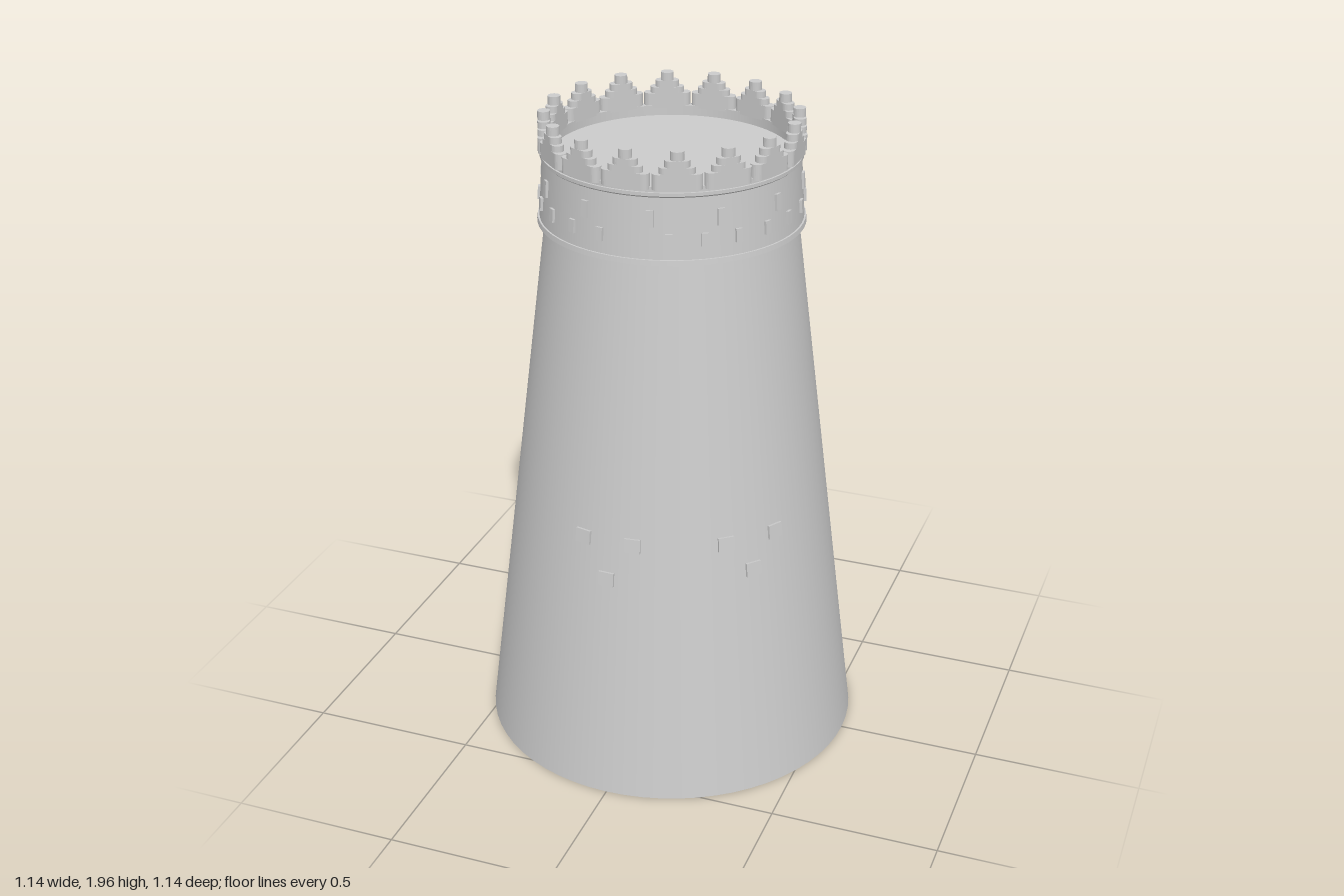
import * as THREE from 'three';

const material = new THREE.MeshStandardMaterial({ color: 0xcccccc, side: THREE.DoubleSide });
const deg = Math.PI / 180;

function part(geometry, name) {
  const mesh = new THREE.Mesh(geometry, material);
  mesh.name = name;
  return mesh;
}

// Surface of revolution with hard edges: every pair of points is its own band
function turned(points, name) {
  const group = new THREE.Group();
  group.name = name;
  for (let i = 0; i < points.length - 1; i++) {
    const band = points.slice(i, i + 2).map(([r, y]) => new THREE.Vector2(r, y));
    group.add(part(new THREE.LatheGeometry(band, 64), name + 'Band'));
  }
  return group;
}

// Round-ended slab, lying flat, with its bottom at y
function roundedSlab(width, depth, y, height) {
  const r = depth / 2, h = width / 2 - r;
  const shape = new THREE.Shape();
  shape.moveTo(-h, -r);
  shape.lineTo(h, -r);
  shape.absarc(h, 0, r, -Math.PI / 2, Math.PI / 2, false);
  shape.lineTo(-h, r);
  shape.absarc(-h, 0, r, Math.PI / 2, Math.PI * 1.5, false);
  const geometry = new THREE.ExtrudeGeometry(shape, { depth: height, bevelEnabled: false, curveSegments: 6 });
  return geometry.rotateX(-Math.PI / 2).translate(0, y, 0);
}

// Small block set on a sloping round wall; angle runs from +z towards +x
function windowBlock(angle, y, radius, width, height, lean, name) {
  const pivot = new THREE.Group();
  pivot.name = name;
  pivot.rotation.y = angle * deg;
  const block = part(new THREE.BoxGeometry(width, height, 0.024), name + 'Block');
  block.position.set(0, y, radius - 0.005);
  block.rotation.x = -lean;
  pivot.add(block);
  return pivot;
}

export function createModel() {
  const tower = new THREE.Group();
  tower.name = 'tower';

  // Tapered body, closed underneath
  const body = part(new THREE.CylinderGeometry(0.365, 0.57, 1.65, 64), 'body');
  body.position.y = 0.865;
  tower.add(body);

  // Collar, parapet lip and recessed roof deck
  tower.add(turned([
    [0.36, 1.68], [0.388, 1.68], [0.386, 1.695], [0.381, 1.695], [0.37, 1.87],
    [0.376, 1.875], [0.376, 1.885], [0.37, 1.885], [0.37, 1.9], [0.346, 1.9], [0.346, 1.87], [0, 1.87],
  ], 'collar'));

  // Stepped battlements
  const steps = [[0.138, 1.893, 0.045], [0.1, 1.938, 0.018], [0.07, 1.956, 0.019], [0.038, 1.975, 0.025]];
  const stepGeometries = steps.map(([w, y, h]) => roundedSlab(w, 0.036, y, h).translate(0, 0, 0.361));
  for (let i = 0; i < 16; i++) {
    const merlon = new THREE.Group();
    merlon.name = 'merlon';
    merlon.rotation.y = i * 22.5 * deg;
    for (const geometry of stepGeometries) merlon.add(part(geometry, 'merlonStep'));
    tower.add(merlon);
  }

  // Two rows of narrow windows around the collar
  for (let i = 0; i < 12; i++)
    tower.add(windowBlock(11 + i * 30, 1.81, 0.374, 0.02, 0.048, 0.06, 'upperCollarWindow'));
  for (let i = 1; i < 24; i++)
    tower.add(windowBlock(4 + i * 15, 1.75, 0.378, 0.02, 0.038, 0.06, 'lowerCollarWindow'));

  // Two triangular clusters of windows on the body
  const clusters = [
    [-12.5, 0.845], [6.3, 0.845], [-2.8, 0.73],
    [39.5, 0.845], [59.5, 0.845], [49.5, 0.75],
  ];
  for (const [angle, y] of clusters) {
    const radius = 0.57 - (y - 0.04) * 0.1242;
    tower.add(windowBlock(angle, y, radius, 0.048, 0.042, 0.124, 'bodyWindow'));
  }
  return tower;
}
